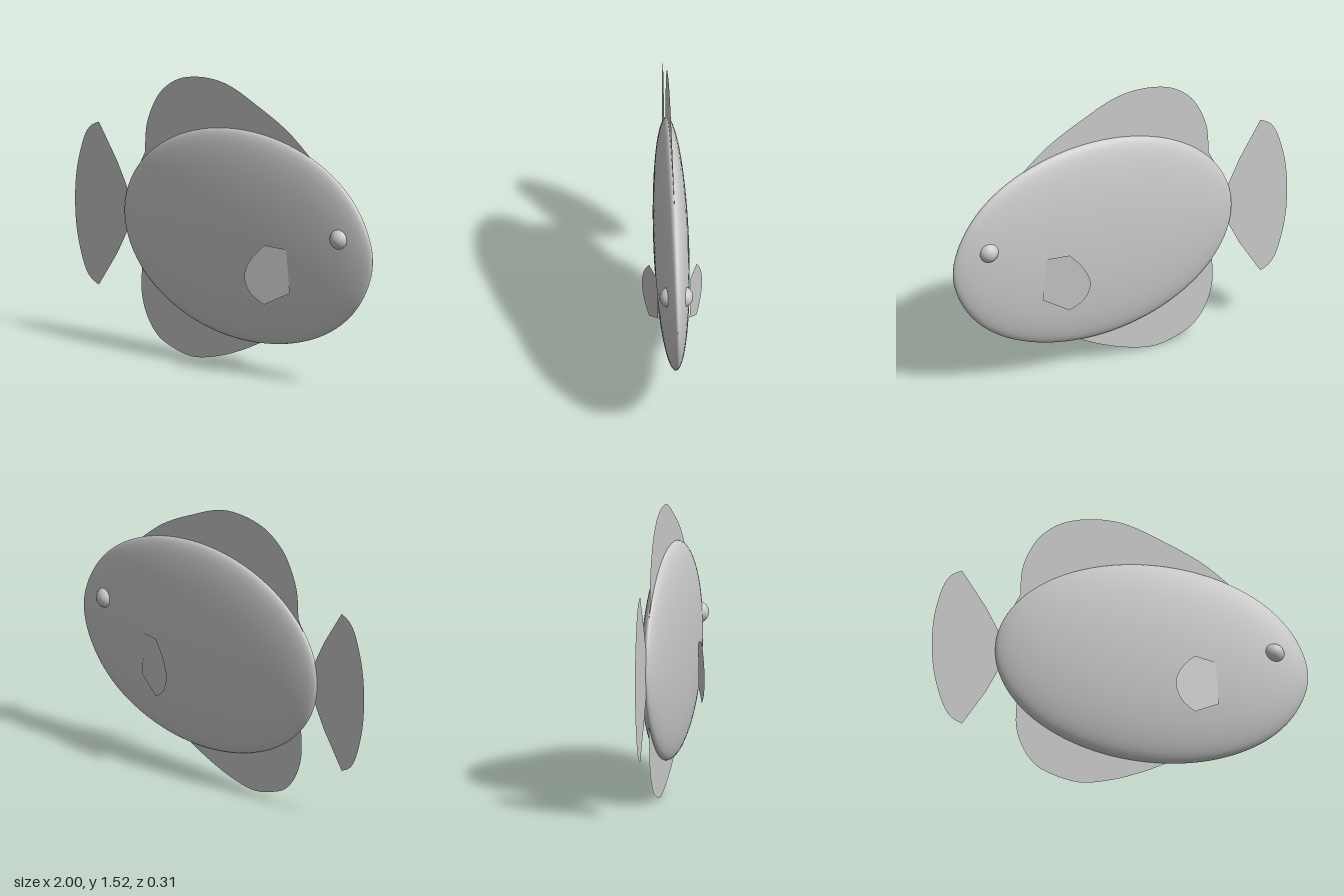
import * as THREE from 'three';

const V = (p) => new THREE.Vector2(p[0], p[1]);

// flat fin outline: a smooth curve through `curve`, closed by straight lines through `base`
function finGeometry(curve, base) {
  const shape = new THREE.Shape();
  shape.setFromPoints([...new THREE.SplineCurve(curve.map(V)).getPoints(40), ...base.map(V)]);
  return new THREE.ShapeGeometry(shape);
}

export function createModel() {
  const group = new THREE.Group();
  const bodyGrey = new THREE.MeshStandardMaterial({ color: 0xcccccc });
  bodyGrey.name = 'pale grey';
  bodyGrey.side = THREE.DoubleSide;

  const add = (name, geometry) => {
    const mesh = new THREE.Mesh(geometry, bodyGrey);
    mesh.name = name;
    group.add(mesh);
    return mesh;
  };

  // Body: flattened oval, blunt at the tail and slightly pointed at the nose
  const profile = [];
  for (let i = 0; i <= 48; i++) {
    const t = (i / 48) * Math.PI;
    const c = -Math.cos(t);
    const taper = c > 0 ? 1 - 0.12 * c ** 12 : 1;
    profile.push(new THREE.Vector2(Math.max(0, 0.566 * Math.sin(t) * taper), 0.168 + 0.832 * c));
  }
  const body = new THREE.LatheGeometry(profile, 64);
  body.rotateZ(-Math.PI / 2);
  body.scale(1, 1, 0.09 / 0.566);
  body.translate(0, 0.715, 0);
  add('body', body);

  // Fins along the centre plane, their bases hidden inside the body
  add('dorsalFin', finGeometry(
    [[-0.53, 1.05], [-0.52, 1.195], [-0.473, 1.32], [-0.404, 1.415], [-0.286, 1.49], [-0.125, 1.52],
      [0.035, 1.505], [0.22, 1.43], [0.436, 1.32], [0.62, 1.175]],
    [[0.5, 1.1], [-0.4, 0.9], [-0.57, 0.97]]));
  add('analFin', finGeometry(
    [[-0.55, 0.42], [-0.553, 0.3], [-0.527, 0.195], [-0.473, 0.105], [-0.393, 0.045], [-0.22, 0],
      [-0.045, 0.03], [0.115, 0.088], [0.243, 0.15]],
    [[0.2, 0.3], [-0.4, 0.55]]));
  add('tailFin', finGeometry(
    [[-0.84, 1.16], [-0.9, 1.125], [-0.944, 1.05], [-0.987, 0.89], [-1, 0.72],
      [-0.987, 0.55], [-0.944, 0.39], [-0.9, 0.315], [-0.84, 0.28]],
    [[-0.714, 0.475], [-0.655, 0.59], [-0.6, 0.72], [-0.655, 0.85], [-0.714, 0.965]]));

  // Paired side fins (angled outward) and eyes
  for (const side of [1, -1]) {
    const fin = finGeometry(
      [[0.372, 0.725], [0.302, 0.645], [0.265, 0.55], [0.297, 0.46], [0.372, 0.405]],
      [[0.51, 0.48], [0.49, 0.715]]);
    const pos = fin.attributes.position;
    for (let i = 0; i < pos.count; i++) pos.setZ(i, side * (0.088 + (0.49 - pos.getX(i)) * 0.305));
    fin.computeVertexNormals();
    add(side > 0 ? 'frontSideFin' : 'backSideFin', fin);

    const eye = add(side > 0 ? 'frontEye' : 'backEye', new THREE.SphereGeometry(0.056, 24, 16));
    eye.position.set(0.81, 0.815, side * 0.032);
  }
  return group;
}
